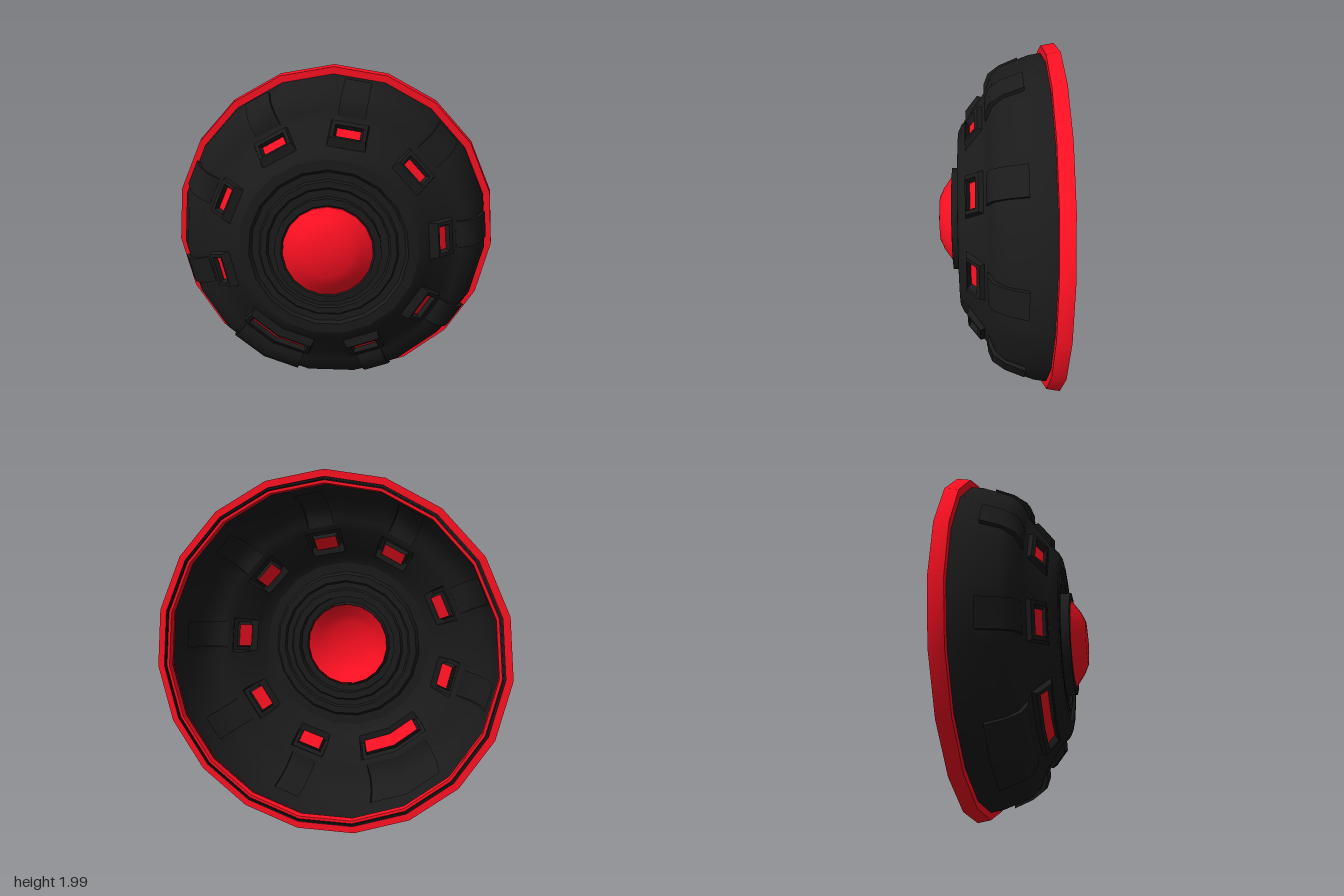
import * as THREE from 'three';
import { toCreasedNormals } from 'three/addons/utils/BufferGeometryUtils.js';

const SIDES = 19;
const STEP = (Math.PI * 2) / SIDES;
const TAN = Math.tan(STEP / 2);
const COS = Math.cos(STEP / 2);

const dark = new THREE.MeshStandardMaterial({ color: 0x1b1b1b, side: THREE.DoubleSide });
const red = new THREE.MeshStandardMaterial({ color: 0xff1022, side: THREE.DoubleSide });

// Point on a side of the bowl: r = distance of the side from the axis, u = offset along the side
function at(side, [r, z], u) {
  const a = Math.PI / 2 + (side + 0.5) * STEP;
  return [r * Math.cos(a) - u * Math.sin(a), r * Math.sin(a) + u * Math.cos(a), z];
}

function quad(out, a, b, c, d) {
  out.push(...a, ...b, ...c, ...a, ...c, ...d);
}

function meshFrom(positions, material, name, crease = 0.6) {
  const g = new THREE.BufferGeometry();
  g.setAttribute('position', new THREE.Float32BufferAttribute(positions, 3));
  const mesh = new THREE.Mesh(toCreasedNormals(g, crease), material);
  mesh.name = name;
  return mesh;
}

// Ring turned about the z axis, from [radius, z] points
function turned(points, material, name) {
  const g = new THREE.LatheGeometry(points.map(([r, z]) => new THREE.Vector2(r, z)), SIDES, Math.PI);
  g.rotateX(Math.PI / 2);
  g.deleteAttribute('uv');
  g.deleteAttribute('normal');
  const mesh = new THREE.Mesh(toCreasedNormals(g.toNonIndexed(), 0.6), material);
  mesh.name = name;
  return mesh;
}

// Bays hold a window and a slab; the double bay spans two sides and meets at their joint
const bays = new Map();
for (const s of [1, 3, 5, 10, 12, 14, 16, 18]) bays.set(s, { joinLo: false, joinHi: false });
bays.set(7, { joinLo: false, joinHi: true });
bays.set(8, { joinLo: true, joinHi: false });

const lo = (bay, r, hw) => (bay.joinLo ? -r * TAN : -hw);
const hi = (bay, r, hw) => (bay.joinHi ? r * TAN : hw);

const SLAB_HW = 0.078;
const FRAME_HW = 0.108;
const slabBase = [[0.905, -0.135], [0.865, -0.03], [0.815, 0.023], [0.76, 0.045], [0.73, 0.056]];
const slabTop = [[0.927, -0.135], [0.884, -0.03], [0.836, 0.037], [0.775, 0.061], [0.73, 0.061]];
const windowBase = [[0.70, 0.075], [0.57, 0.165]];

// Bowl wall, row by row, leaving openings for slabs and windows
function bowl() {
  const out = [];
  const profile = [[0.94, -0.335], [0.935, -0.25], [0.925, -0.19], ...slabBase, ...windowBase, [0.545, 0.19], [0.505, 0.21]];
  for (let s = 0; s < SIDES; s++) {
    const bay = bays.get(s);
    for (let i = 0; i < profile.length - 1; i++) {
      const p = profile[i], q = profile[i + 1];
      const strip = (pa, pb, qa, qb) => quad(out, at(s, p, pa), at(s, p, pb), at(s, q, qb), at(s, q, qa));
      const pe = p[0] * TAN, qe = q[0] * TAN;
      const hw = i >= 3 && i < 7 ? SLAB_HW : i === 8 ? FRAME_HW : 0;
      if (!bay || !hw) {
        strip(-pe, pe, -qe, qe);
        continue;
      }
      if (!bay.joinLo) strip(-pe, -hw, -qe, -hw);
      if (!bay.joinHi) strip(hw, pe, hw, qe);
    }
  }
  return meshFrom(out, dark, 'bowl');
}

// Raised slab following the curve of the wall
function slab(s, bay) {
  const out = [];
  const edge = (pts, i, f) => at(s, pts[i], f(bay, pts[i][0], SLAB_HW));
  const last = slabTop.length - 1;
  for (let i = 0; i < last; i++) {
    quad(out, edge(slabTop, i, lo), edge(slabTop, i, hi), edge(slabTop, i + 1, hi), edge(slabTop, i + 1, lo));
    if (!bay.joinLo) quad(out, edge(slabBase, i, lo), edge(slabTop, i, lo), edge(slabTop, i + 1, lo), edge(slabBase, i + 1, lo));
    if (!bay.joinHi) quad(out, edge(slabTop, i, hi), edge(slabBase, i, hi), edge(slabBase, i + 1, hi), edge(slabTop, i + 1, hi));
  }
  quad(out, edge(slabBase, 0, lo), edge(slabBase, 0, hi), edge(slabTop, 0, hi), edge(slabTop, 0, lo));
  quad(out, edge(slabTop, last, lo), edge(slabTop, last, hi), edge(slabBase, last, hi), edge(slabBase, last, lo));
  return meshFrom(out, dark, 'slab');
}

// Raised frame around a sunken pane, bridged through four nested outlines
function windowUnit(s, bay) {
  const loops = [
    [...windowBase, FRAME_HW],
    [[0.708, 0.1], [0.622, 0.168], 0.1],
    [[0.688, 0.116], [0.63, 0.162], 0.08],
    [[0.667, 0.098], [0.602, 0.143], 0.067],
  ].map(([p, q, hw]) => [
    at(s, p, lo(bay, p[0], hw)), at(s, p, hi(bay, p[0], hw)),
    at(s, q, hi(bay, q[0], hw)), at(s, q, lo(bay, q[0], hw)),
  ]);
  const out = [];
  for (let k = 0; k < 3; k++) {
    for (let i = 0; i < 4; i++) {
      if ((i === 1 && bay.joinHi) || (i === 3 && bay.joinLo)) continue;
      const j = (i + 1) % 4;
      quad(out, loops[k][i], loops[k][j], loops[k + 1][j], loops[k + 1][i]);
    }
  }
  const pane = [];
  quad(pane, ...loops[3]);
  const unit = new THREE.Group();
  unit.name = 'window';
  unit.add(meshFrom(out, dark, 'windowFrame', 0.3), meshFrom(pane, red, 'windowPane'));
  return unit;
}

export function createModel() {
  const model = new THREE.Group();
  model.name = 'dish';
  const body = new THREE.Group();
  body.name = 'body';
  body.position.y = 0.99;
  model.add(body);

  body.add(bowl());
  for (const [s, bay] of bays) body.add(slab(s, bay), windowUnit(s, bay));

  // Stepped rings around the hub
  body.add(turned([
    [0.505 / COS, 0.21], [0.455, 0.213], [0.44, 0.195], [0.4, 0.195], [0.39, 0.208], [0.355, 0.208],
    [0.345, 0.195], [0.303, 0.195], [0.303, 0.25], [0.265, 0.253], [0.25, 0.235],
  ], dark, 'hubRings'));

  // Central button
  body.add(turned([[0.257, 0.235], [0.255, 0.252], [0.23, 0.268], [0.185, 0.3], [0.13, 0.326], [0, 0.335]], red, 'button'));

  // Outer rim and the thin lip inside it
  body.add(turned([[0.965, -0.335], [1.0035, -0.335], [0.99, -0.26], [0.945, -0.26]], red, 'rim'));
  body.add(turned([[0.965, -0.335], [0.965, -0.322], [0.948, -0.322]], dark, 'rimGroove'));
  body.add(turned([[0.948, -0.335], [0.932, -0.335], [0.928, -0.3], [0.94, -0.29]], red, 'innerLip'));
  return model;
}
